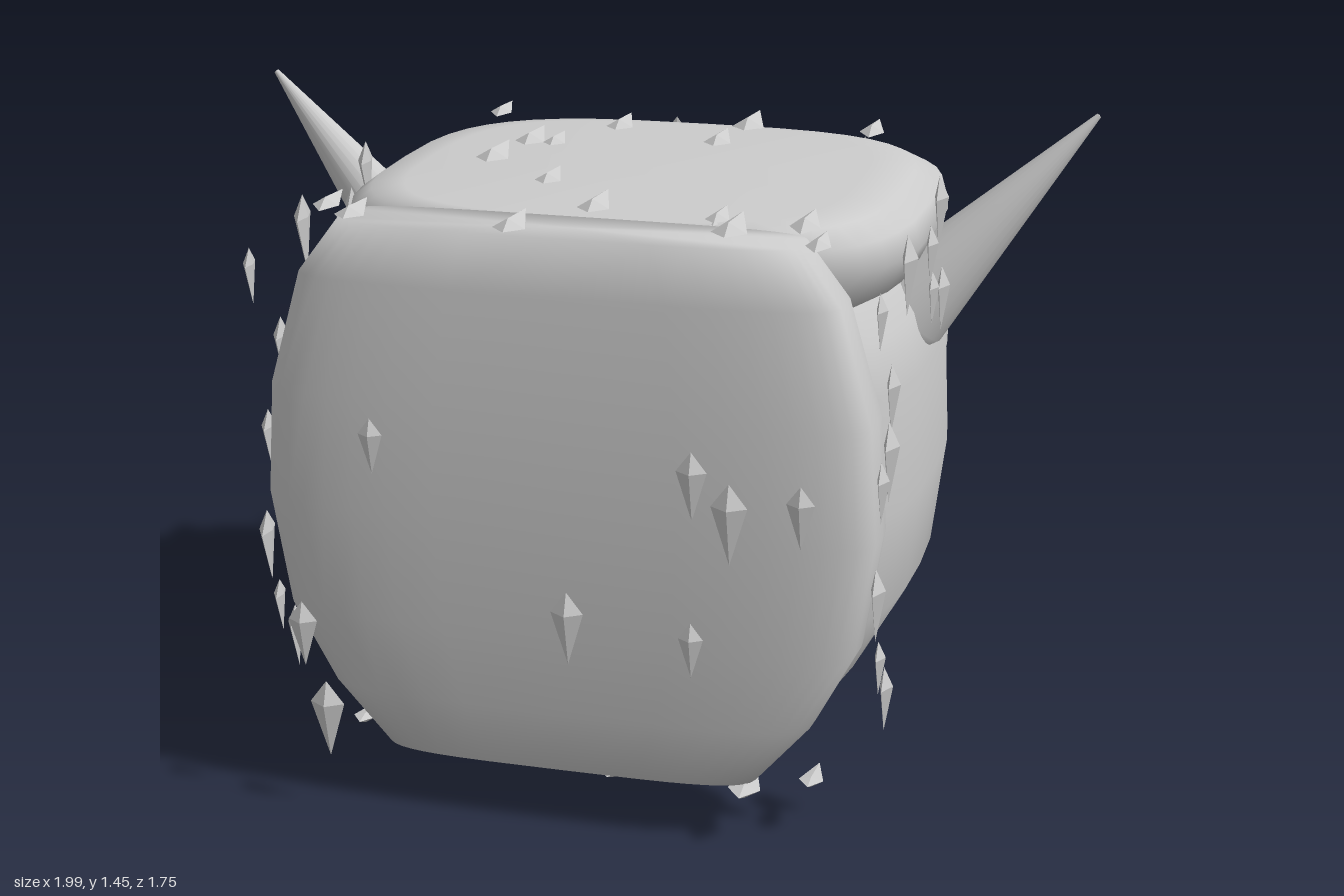
import * as THREE from 'three';

const mat = new THREE.MeshStandardMaterial({ color: 0xcccccc });
const flat = new THREE.MeshStandardMaterial({ color: 0xcccccc, flatShading: true });

// Closed smooth solid from stacked super-ellipse sections: [y, halfWidth, zMin, zMax]
function loft(rows, power, n = 40) {
  const pos = [], idx = [];
  const bend = v => Math.sign(v) * Math.abs(v) ** (2 / power);
  rows.forEach(([y, w, z0, z1], i) => {
    for (let j = 0; j < n; j++) {
      const a = (j / n) * Math.PI * 2, k = (j + 1) % n;
      pos.push(w * bend(Math.cos(a)), y, (z0 + z1) / 2 + ((z1 - z0) / 2) * bend(Math.sin(a)));
      if (i === 0) continue;
      const lo = (i - 1) * n, hi = i * n;
      idx.push(lo + j, hi + j, lo + k, hi + j, hi + k, lo + k);
    }
  });
  // end caps
  const last = rows.length - 1, c = rows.length * n;
  for (const [y, , z0, z1] of [rows[0], rows[last]]) pos.push(0, y, (z0 + z1) / 2);
  for (let j = 0; j < n; j++) {
    const k = (j + 1) % n;
    idx.push(c, j, k, c + 1, last * n + k, last * n + j);
  }
  const g = new THREE.BufferGeometry();
  g.setAttribute('position', new THREE.Float32BufferAttribute(pos, 3));
  g.setIndex(idx);
  g.computeVertexNormals();
  return g;
}

const lathe = (points, sides) =>
  new THREE.LatheGeometry(points.map(p => new THREE.Vector2(...p)), sides);

// Round bar between two points
function rod(a, b, r, sides) {
  const p = new THREE.Vector3(...a), q = new THREE.Vector3(...b);
  const d = q.clone().sub(p);
  const g = new THREE.CylinderGeometry(r, r, d.length(), sides);
  g.applyQuaternion(new THREE.Quaternion().setFromUnitVectors(new THREE.Vector3(0, 1, 0), d.normalize()));
  return g.translate(...p.add(q).multiplyScalar(0.5).toArray());
}

// Thin kite-shaped tuft, pointed downwards and ridged in front
function kite() {
  const g = new THREE.OctahedronGeometry(1);
  const p = g.attributes.position;
  for (let i = 0; i < p.count; i++) {
    const y = p.getY(i), z = p.getZ(i);
    p.setXYZ(i, p.getX(i) * 0.03, y * (y > 0 ? 0.04 : 0.1), z * (z > 0 ? 0.018 : 0.008));
  }
  g.computeVertexNormals();
  return g;
}

// Brow: tapered bar along +x whose outer end droops
function browBar() {
  const g = loft([[0.1, 0.042, -0.042, 0.042], [0.2, 0.05, -0.048, 0.048], [0.38, 0.062, -0.057, 0.057],
    [0.47, 0.056, -0.047, 0.047], [0.555, 0.034, -0.028, 0.028]], 3, 8);
  const p = g.attributes.position;
  for (let i = 0; i < p.count; i++) {
    const x = p.getY(i);
    p.setXYZ(i, x, 0.822 - p.getX(i) - Math.max(0, x - 0.38) * 0.75, p.getZ(i));
  }
  return g;
}

export function createModel() {
  const model = new THREE.Group();
  const add = (name, geo, m = mat, parent = model) => {
    const mesh = new THREE.Mesh(geo, m);
    mesh.name = name;
    parent.add(mesh);
    return mesh;
  };

  // Head
  add('head', loft([
    [0, 0.39, -0.49, 0.42], [0.14, 0.51, -0.63, 0.55], [0.35, 0.63, -0.715, 0.61],
    [0.6, 0.66, -0.75, 0.63], [0.88, 0.65, -0.715, 0.62], [1.0, 0.62, -0.66, 0.6], [1.1, 0.56, -0.59, 0.55],
  ], 2.8));

  // Hair: upright slab and slab on the crown
  add('hairSlab', loft([
    [0.13, 0.42, 0.6, 0.81], [0.27, 0.54, 0.585, 0.83], [0.45, 0.635, 0.575, 0.848], [0.7, 0.675, 0.57, 0.855],
    [0.95, 0.66, 0.575, 0.85], [1.2, 0.59, 0.6, 0.83], [1.32, 0.5, 0.62, 0.81],
  ], 4));
  add('hairTop', loft([
    [1.08, 0.55, -0.42, 0.56], [1.12, 0.62, -0.5, 0.61], [1.2, 0.66, -0.54, 0.64],
    [1.26, 0.645, -0.52, 0.64], [1.3, 0.59, -0.44, 0.63], [1.32, 0.5, -0.33, 0.62],
  ], 3.2));

  // Paired parts, mirrored left and right
  const browGeo = browBar();
  const hornGeo = lathe([[0, -0.08], [0.055, -0.07], [0.095, -0.04], [0.11, 0], [0.006, 0.62], [0, 0.622]], 24);
  for (const s of [1, -1]) {
    const side = s > 0 ? 'left' : 'right';
    const horn = add(side + 'Horn', hornGeo);
    horn.position.set(s * 0.58, 0.985, -0.04);
    horn.quaternion.setFromUnitVectors(new THREE.Vector3(0, 1, 0), new THREE.Vector3(s * 0.42, 0.465, -0.075).normalize());

    const eye = add(side + 'Eye', new THREE.SphereGeometry(1, 20, 14));
    eye.scale.set(0.15, 0.1, 0.078);
    eye.position.set(s * 0.29, 0.67, -0.79);

    const brow = add(side + 'Brow', browGeo, flat);
    brow.position.z = -0.813;
    if (s < 0) brow.rotation.y = Math.PI;

    add(side + 'CheekRod', rod([s * 0.32, 0.45, -0.78], [s * 0.17, 0.57, -0.78], 0.016, 8));
  }

  // Nose, muzzle and the rods behind them
  const nose = add('nose', lathe(
    [[0, -0.23], [0.022, -0.22], [0.036, -0.1], [0.054, 0.06], [0.045, 0.14], [0.028, 0.235], [0, 0.24]], 8));
  nose.position.set(0, 0.695, -0.8);
  nose.scale.z = 1.25;
  add('muzzle', loft([
    [0.14, 0.2, -0.78, -0.62], [0.2, 0.3, -0.815, -0.6], [0.29, 0.37, -0.848, -0.6],
    [0.41, 0.38, -0.85, -0.6], [0.48, 0.345, -0.83, -0.62], [0.53, 0.25, -0.79, -0.66],
  ], 2.8));
  add('browBridge', rod([-0.12, 0.82, -0.81], [0.12, 0.82, -0.81], 0.03, 8));
  add('browRod', rod([-0.45, 0.8, -0.73], [0.45, 0.8, -0.73], 0.028, 6), flat);
  add('mouthRod', rod([-0.44, 0.3, -0.73], [0.44, 0.3, -0.73], 0.028, 6), flat);

  // Loose tufts scattered over the hair
  const tufts = new THREE.Group();
  tufts.name = 'tufts';
  model.add(tufts);
  const tuftGeo = kite();
  const scatter = (name, points, rotation) => points.forEach(([x, y, z], i) => {
    const t = add(name, tuftGeo, flat, tufts);
    t.position.set(x, y, z);
    t.rotation.set(...rotation);
    t.scale.setScalar(0.9 + 0.4 * ((i * 7) % 5) / 4);
  });

  scatter('frontTuft', [[-0.4, 0.88], [0.3, 0.86], [0.38, 0.79], [0.53, 0.81], [0.03, 0.52], [0.3, 0.49],
    [-0.57, 0.44], [-0.52, 0.25]].map(([x, y]) => [x, y, 0.858]), [0.06, 0, 0]);
  scatter('topTuft', [[-0.5, -0.35], [-0.17, -0.26], [0.13, -0.34], [0.43, -0.36], [-0.33, -0.05], [-0.27, -0.05],
    [0.1, -0.15], [-0.36, 0.14], [-0.17, 0.32], [0, 0.54], [0.28, 0.57], [0.47, 0.58], [0.33, 0.67],
    [-0.56, 0.66], [-0.12, 0.75], [0.53, 0.73], [-0.48, 0.73]].map(([x, z]) => [x, 1.32, z]), [Math.PI / 2 + 0.12, Math.PI, 0]);
  for (const s of [1, -1])
    scatter('sideTuft', [[0.81, 1.22], [0.66, 1.02], [0.67, 0.89], [0.75, 0.84], [0.78, 0.61], [0.73, 0.44],
      [0.65, 0.34], [0.51, 1.25], [0.22, 1.21], [0.12, 1.29], [0.18, 1.1], [0.05, 1.07], [-0.43, 1.08]]
      .map(([z, y]) => [s * 0.675, y, z]), [0, s * Math.PI / 2, s * 0.08]);
  scatter('backTuft', [[-0.4, 1.2], [-0.33, 1.14], [-0.1, 1.24], [0.2, 1.16], [0.38, 1.22]]
    .map(([x, y]) => [x, y, -0.545]), [0.08, Math.PI, 0]);
  scatter('lowerTuft', [[-0.52, 0.64], [-0.04, 0.6], [0.1, 0.75], [0.26, 0.66], [0.4, 0.78], [0.53, 0.7]]
    .map(([x, z]) => [x, 0.122, z]), [Math.PI / 2, 0, 0]);

  return model;
}
